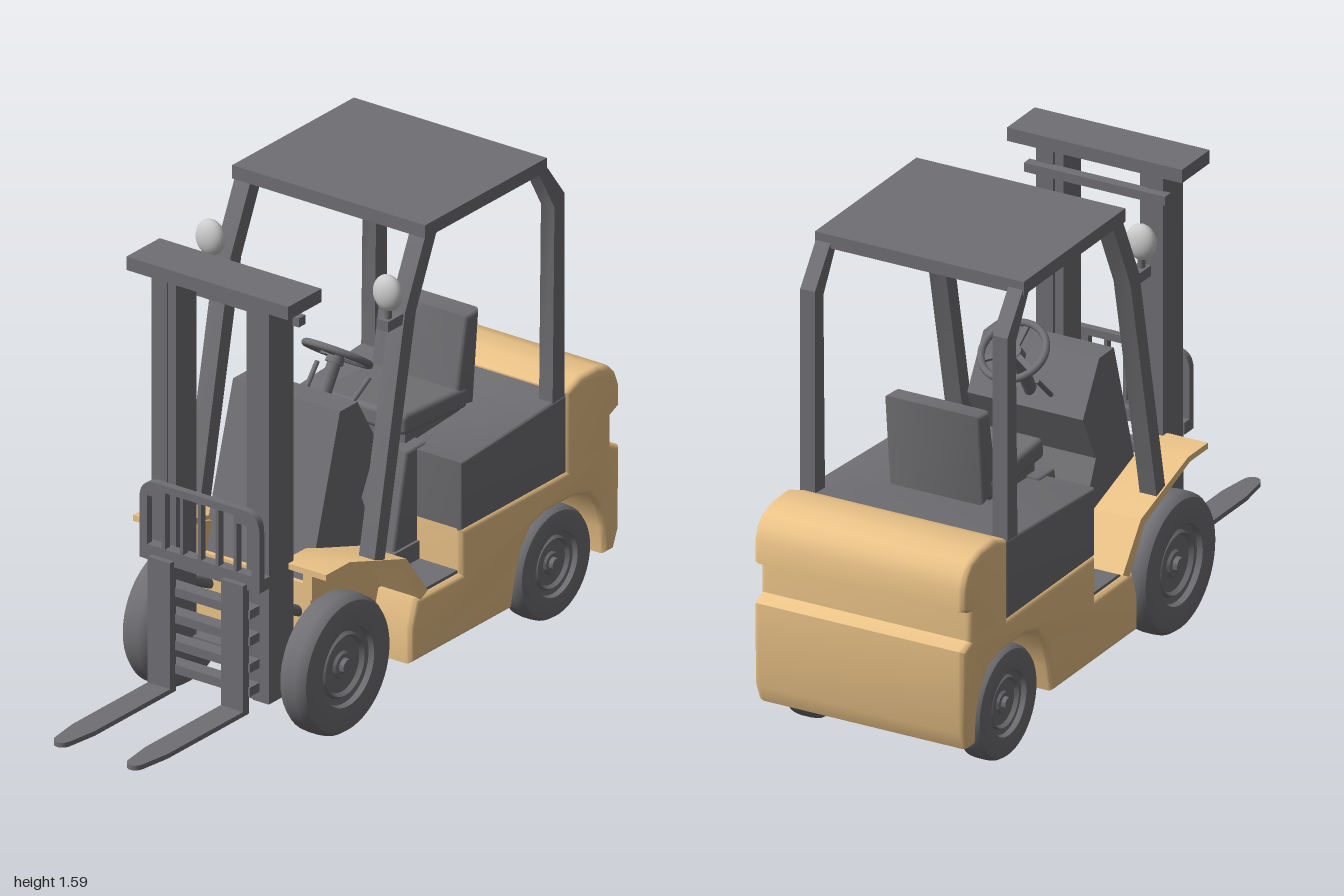
import * as THREE from 'three';
import { toCreasedNormals } from 'three/addons/utils/BufferGeometryUtils.js';
import { RoundedBoxGeometry } from 'three/addons/geometries/RoundedBoxGeometry.js';

const paint = new THREE.MeshStandardMaterial({ color: 0xecc488 });
const dark = new THREE.MeshStandardMaterial({ color: 0x707074 });
const light = new THREE.MeshStandardMaterial({ color: 0xcccccc });

export function createModel() {
  const model = new THREE.Group();
  const truck = new THREE.Group();
  truck.name = 'forklift';
  model.add(truck);

  const add = (name, geo, mat = dark, x = 0, y = 0, z = 0) => {
    const mesh = new THREE.Mesh(geo, mat);
    mesh.name = name;
    mesh.position.set(x, y, z);
    truck.add(mesh);
    return mesh;
  };
  // box given by its limits on each axis
  const box = (name, x0, x1, y0, y1, z0, z1, mat = dark) =>
    add(name, new THREE.BoxGeometry(x1 - x0, y1 - y0, z1 - z0), mat, (x0 + x1) / 2, (y0 + y1) / 2, (z0 + z1) / 2);
  // side outline of [z, y] points, extruded across the truck from x0 to x1
  const slab = (name, pts, x0, x1, mat = dark, bevel = 0) => {
    const shape = new THREE.Shape(pts.map(p => new THREE.Vector2(p[0], p[1])));
    const depth = x1 - x0 - 2 * bevel;
    const geo = new THREE.ExtrudeGeometry(shape, {
      depth, bevelEnabled: bevel > 0, bevelSize: bevel, bevelThickness: bevel, bevelOffset: -bevel, bevelSegments: 4
    });
    geo.translate(0, 0, -depth / 2).rotateY(-Math.PI / 2);
    return add(name, toCreasedNormals(geo, 0.6), mat, (x0 + x1) / 2);
  };
  const rod = (name, a, b, r, mat = dark) => {
    const p = new THREE.Vector3(...a), q = new THREE.Vector3(...b);
    const mesh = add(name, new THREE.CylinderGeometry(r, r, p.distanceTo(q), 12), mat);
    mesh.position.lerpVectors(p, q, 0.5);
    mesh.quaternion.setFromUnitVectors(new THREE.Vector3(0, 1, 0), q.sub(p).normalize());
    return mesh;
  };

  // chassis and counterweight with rear wheel arch and rear groove
  slab('bodyAndCounterweight', [
    [-0.98, 0.14], [-1.005, 0.2], [-1.01, 0.48], [-0.965, 0.5], [-0.965, 0.595], [-1.01, 0.615],
    [-1.008, 0.69], [-0.99, 0.735], [-0.96, 0.765], [-0.9, 0.783], [-0.81, 0.785], [-0.737, 0.755],
    [-0.737, 0.49], [-0.2, 0.49], [-0.2, 0.34], [0.03, 0.34], [0.06, 0.25], [0.06, 0.13], [-0.46, 0.13],
    [-0.48, 0.22], [-0.51, 0.31], [-0.56, 0.37], [-0.63, 0.39], [-0.78, 0.39], [-0.85, 0.37],
    [-0.9, 0.31], [-0.925, 0.23], [-0.93, 0.14]
  ], -0.375, 0.375, paint, 0.022);

  // engine hood with raised seat base
  slab('hood', [[-0.74, 0.485], [-0.74, 0.75], [-0.2, 0.715], [-0.2, 0.485]], -0.37, 0.37, dark, 0.01);
  slab('seatBase', [[-0.25, 0.38], [-0.25, 0.725], [-0.15, 0.72], [-0.08, 0.4]], -0.2, 0.2, dark, 0.01);
  box('floor', -0.21, 0.21, 0.34, 0.41, -0.2, 0.34);

  // dashboard cowl
  slab('dashboard', [
    [0.36, 0.45], [0.2, 0.99], [0.11, 0.99], [0.01, 0.82], [0.09, 0.66], [0.01, 0.48], [0.06, 0.4]
  ], -0.205, 0.205);
  box('frontPanel', -0.22, 0.22, 0.25, 0.47, 0.31, 0.37, paint);

  for (const s of [-1, 1]) {
    const span = (a, b) => (s > 0 ? [a, b] : [-b, -a]);

    // fender, its inner wall and the foot step
    slab('fender', [
      [0.49, 0.59], [0.37, 0.59], [0.08, 0.495], [-0.03, 0.35], [0.01, 0.33], [0.1, 0.47], [0.38, 0.57], [0.49, 0.57]
    ], ...span(0.2, 0.37), paint);
    slab('fenderWall', [[0.37, 0.575], [0.08, 0.48], [0, 0.34], [0, 0.14], [0.06, 0.14], [0.2, 0.34], [0.37, 0.42]], ...span(0.19, 0.225), paint);
    box('step', ...span(0.21, 0.355), 0.335, 0.35, -0.2, -0.02);

    // roof pillars
    slab('frontPillar', [
      [0.24, 0.53], [0.08, 1.325], [-0.03, 1.56], [-0.09, 1.56], [0.025, 1.31], [0.185, 0.53]
    ], ...span(0.305, 0.365));
    slab('rearPillar', [
      [-0.67, 0.72], [-0.68, 1.4], [-0.59, 1.56], [-0.635, 1.56], [-0.732, 1.43], [-0.732, 0.72]
    ], ...span(0.315, 0.367));

    // lamp on a pillar bracket
    box('lampBracket', ...span(0.315, 0.36), 1.285, 1.32, 0.05, 0.16);
    rod('lampStem', [s * 0.34, 1.31, 0.135], [s * 0.34, 1.36, 0.135], 0.012);
    add('lamp', new THREE.SphereGeometry(1, 24, 16), light, s * 0.34, 1.405, 0.135).scale.set(0.052, 0.06, 0.034);

    // mast rails
    box('outerMastRail', ...span(0.165, 0.225), 0.15, 1.49, 0.465, 0.59);
    box('innerMastRail', ...span(0.135, 0.166), 0.15, 1.49, 0.48, 0.585);
    rod('tiltCylinder', [s * 0.17, 0.22, 0.05], [s * 0.17, 0.42, 0.47], 0.018);

    // fork: upright shank and tapered blade
    box('forkShank', ...span(0.097, 0.183), 0.125, 0.565, 0.635, 0.665);
    const blade = new THREE.Shape();
    blade.moveTo(-0.043, 0.64);
    blade.lineTo(0.043, 0.64);
    blade.lineTo(0.043, 1.05);
    blade.lineTo(0.028, 1.16);
    blade.quadraticCurveTo(0.02, 1.185, 0, 1.185);
    blade.quadraticCurveTo(-0.02, 1.185, -0.028, 1.16);
    blade.lineTo(-0.043, 1.05);
    const bladeGeo = new THREE.ExtrudeGeometry(blade, { depth: 0.016, bevelEnabled: false });
    add('forkBlade', bladeGeo.rotateX(Math.PI / 2), dark, s * 0.14, 0.141, 0);

    // wheels, turned from a tyre, rim and hub profile
    for (const [name, R, t, x, z] of [['frontWheel', 0.227, 0.056, 0.302, 0.355], ['rearWheel', 0.185, 0.05, 0.31, -0.705]]) {
      const profile = [
        [0, -1], [0.85, -1], [0.94, -0.88], [0.99, -0.6], [1, -0.3], [1, 0.3], [0.99, 0.6], [0.94, 0.88], [0.85, 1],
        [0.62, 0.95], [0.58, 0.93], [0.56, 0.6], [0.48, 0.5], [0.44, 0.7], [0.4, 0.45], [0.2, 0.45], [0.17, 0.6], [0.11, 0.62], [0.1, 0.9], [0, 0.9]
      ].map(([r, a]) => new THREE.Vector2(r * R, a * t));
      const geo = new THREE.LatheGeometry(profile, 48).rotateZ(-s * Math.PI / 2);
      add(name, toCreasedNormals(geo, 0.6), dark, s * x, R, z);
    }
  }
  rod('frontAxle', [-0.28, 0.227, 0.355], [0.28, 0.227, 0.355], 0.03);
  rod('rearAxle', [-0.28, 0.185, -0.705], [0.28, 0.185, -0.705], 0.022);

  // overhead guard
  box('roof', -0.37, 0.37, 1.54, 1.585, -0.637, -0.015);

  // mast head and cross members
  box('mastHead', -0.31, 0.31, 1.475, 1.52, 0.435, 0.605);
  box('mastUpperBar', -0.25, 0.25, 1.385, 1.415, 0.435, 0.47);
  box('mastLowerBar', -0.2, 0.2, 0.2, 0.25, 0.45, 0.5);

  // carriage rungs
  for (const y of [0.2, 0.28, 0.37, 0.46]) box('carriageRung', -0.19, 0.19, y - 0.015, y + 0.015, 0.59, 0.64);
  box('carriageBeam', -0.23, 0.23, 0.545, 0.585, 0.59, 0.645);

  // load backrest with slots
  const guard = new THREE.Shape();
  guard.moveTo(-0.23, 0.565);
  guard.lineTo(0.23, 0.565);
  guard.lineTo(0.23, 0.745);
  guard.quadraticCurveTo(0.23, 0.81, 0.165, 0.81);
  guard.lineTo(-0.165, 0.81);
  guard.quadraticCurveTo(-0.23, 0.81, -0.23, 0.745);
  for (let i = 0; i < 6; i++) {
    const x = -0.2 + i * 0.0685, top = i === 0 || i === 5 ? 0.76 : 0.785;
    guard.holes.push(new THREE.Path([[x, 0.595], [x, top], [x + 0.0565, top], [x + 0.0565, 0.595]].map(p => new THREE.Vector2(...p))));
  }
  add('loadBackrest', new THREE.ExtrudeGeometry(guard, { depth: 0.025, bevelEnabled: false }), dark, 0, 0, 0.62);

  // seat
  add('seatCushion', new RoundedBoxGeometry(0.35, 0.07, 0.33, 3, 0.018), dark, 0, 0.785, -0.335).rotation.x = -0.06;
  add('seatPlinth', new THREE.BoxGeometry(0.31, 0.06, 0.28), dark, 0, 0.735, -0.34);
  slab('seatBack', [[-0.44, 0.76], [-0.495, 1.045], [-0.565, 1.05], [-0.535, 0.74]], -0.17, 0.17, dark, 0.018);

  // steering wheel with spokes and column
  const steering = new THREE.Group();
  steering.name = 'steeringWheel';
  steering.position.set(0, 1.035, -0.06);
  steering.rotation.x = -0.6;
  truck.add(steering);
  const part = (name, geo) => {
    const mesh = new THREE.Mesh(geo, dark);
    mesh.name = name;
    steering.add(mesh);
    return mesh;
  };
  part('steeringRim', new THREE.TorusGeometry(0.105, 0.012, 10, 40).rotateX(Math.PI / 2));
  part('steeringHub', new THREE.CylinderGeometry(0.025, 0.03, 0.035, 20)).position.y = -0.015;
  for (let i = 0; i < 3; i++)
    part('steeringSpoke', new THREE.BoxGeometry(0.018, 0.01, 0.09).translate(0, -0.005, 0.06).rotateY(i * Math.PI * 2 / 3));
  rod('steeringColumn', [0, 1.02, -0.05], [0, 0.84, 0.06], 0.022);
  rod('lever', [0.08, 0.87, 0.03], [0.1, 0.97, -0.09], 0.008);
  rod('lever', [-0.08, 0.87, 0.03], [-0.1, 0.97, -0.09], 0.008);

  // the truck stands turned to its right
  truck.rotation.y = -0.695;
  truck.position.set(-0.008, 0, -0.007);
  return model;
}
